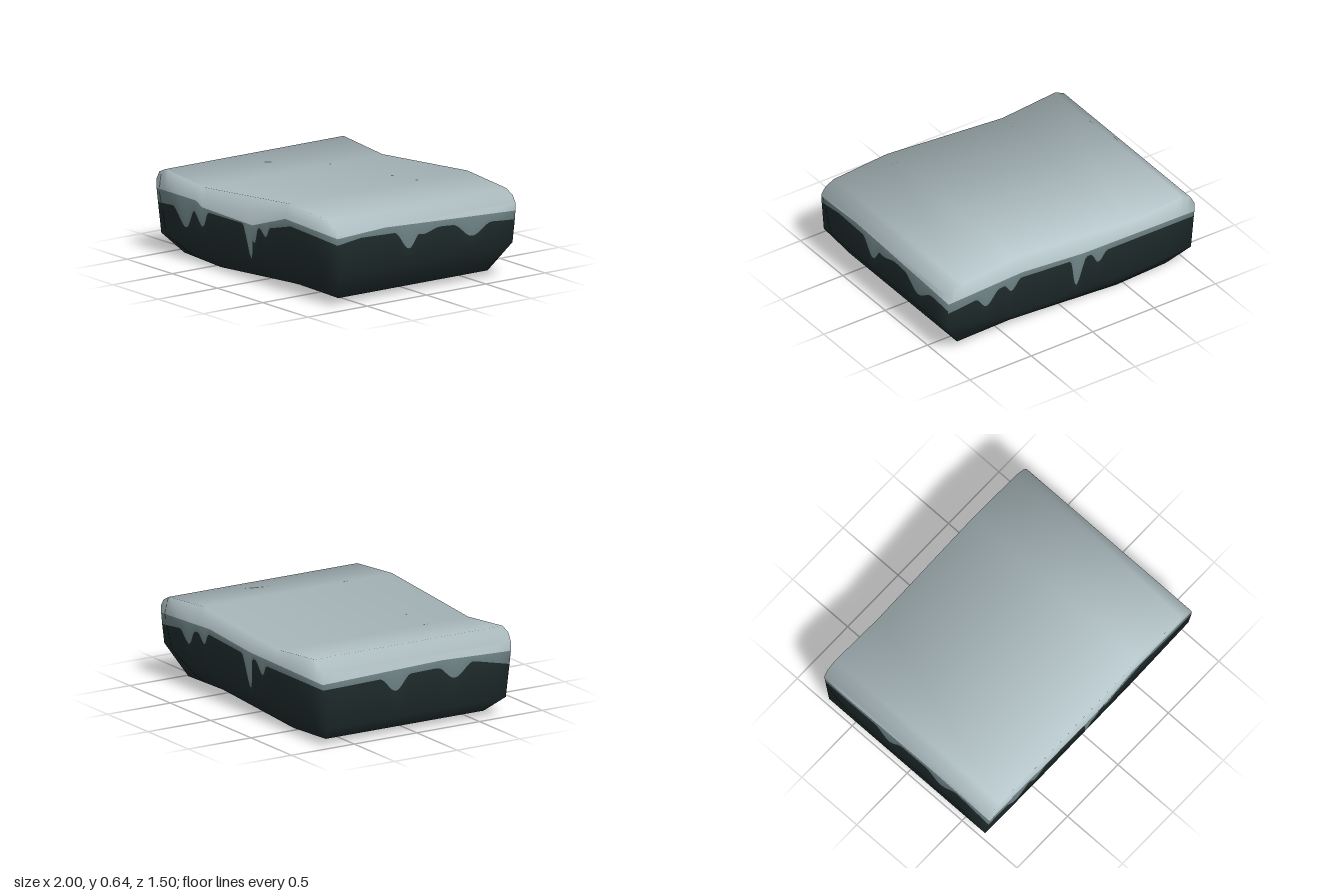
import * as THREE from 'three';

// Piecewise-linear curve through sorted [t, value] points
const curve = (pts) => (t) => {
  let i = 1;
  while (i < pts.length - 1 && t > pts[i][0]) i++;
  const [t0, v0] = pts[i - 1], [t1, v1] = pts[i];
  return THREE.MathUtils.mapLinear(THREE.MathUtils.clamp(t, t0, t1), t0, t1, v0, v1);
};

// Heights along x: undulating top, start of the lower chamfer, underside
const topXs = [-1, -0.97, -0.9, -0.47, 0.47, 0.9, 0.97, 1];
const topYs = [0.52, 0.575, 0.605, 0.565, 0.64, 0.605, 0.57, 0.525];
const top = curve(topXs.map((x, i) => [x, topYs[i]]));
const chamfer = curve([[-1, 0.14], [-0.45, 0.13], [0.42, 0.155], [1, 0.255]]);
const bottom = curve([[-0.85, 0.02], [-0.45, 0], [0.42, 0.055], [0.85, 0.045]]);
const bottomXs = [-1, -0.53, 0.494, 1];

// Half depth of the slab, narrowing downwards
const depth = (y) => 0.75 - 0.04 * THREE.MathUtils.clamp((0.45 - y) / 0.31, 0, 1);

// Lower edge of the drip band: a line with rounded drips [centre, half width, length]
function dripEdge(line, drips) {
  const base = curve(line);
  return (t) => {
    const lengths = drips.map(([c, w, l]) => {
      const d = Math.min(1, Math.abs(t - c) / w);
      return l * (0.5 + 0.5 * Math.cos(Math.PI * d));
    });
    return base(t) - Math.max(...lengths);
  };
}

// Upward normal of the top profile, rounded at the profile corners
function profileNormal(x) {
  const a = Math.max(-1, x - 0.02), b = Math.min(1, x + 0.02);
  return new THREE.Vector3(top(a) - top(b), b - a, 0).normalize();
}

// Collects smooth strips between two matching rows of {p, n}
class Surface {
  pos = [];
  nor = [];
  strip(upper, lower) {
    for (let i = 1; i < upper.length; i++) {
      const a0 = upper[i - 1], a1 = upper[i], b0 = lower[i - 1], b1 = lower[i];
      for (const v of [b0, b1, a1, b0, a1, a0]) {
        this.pos.push(...v.p.toArray());
        this.nor.push(...v.n.toArray());
      }
    }
  }
  mesh(name, material) {
    const g = new THREE.BufferGeometry();
    g.setAttribute('position', new THREE.Float32BufferAttribute(this.pos, 3));
    g.setAttribute('normal', new THREE.Float32BufferAttribute(this.nor, 3));
    const m = new THREE.Mesh(g, material);
    m.name = name;
    return m;
  }
}

// Rows of one wall from rim to base, running left to right as seen from outside
function wallRows(axis, side, border, drip) {
  const alongX = axis === 'x';
  const half = alongX ? 1 : 0.75;
  const steps = Array.from({ length: 121 }, (_, i) => (i / 60 - 1) * half);
  const extra = alongX ? [...topXs, ...bottomXs] : [];
  const stations = [...new Set([...steps, ...extra])].sort((a, b) => a - b);
  if (alongX === side < 0) stations.reverse();

  const row = (height, up) => stations.map((t) => {
    const x = alongX ? t : side, y = height(t, x), round = (t / half) ** 7;
    return {
      p: new THREE.Vector3(x, y, (alongX ? side : t / half) * depth(y)),
      n: new THREE.Vector3(alongX ? round : side, up, alongX ? side : round).normalize(),
    };
  });
  const rim = row((t, x) => top(x), 0);
  for (const v of rim) v.n.add(profileNormal(v.p.x)).normalize();
  const base = row(() => 0.5, -1.5);
  for (const { p } of base) p.set(p.x * 0.85, bottom(p.x * 0.85), p.z * 0.84);
  return {
    rim,
    edge: row(border, 0.25),
    drip: row(drip, 0),
    chamfer: row((t, x) => chamfer(x), -0.35),
    base,
  };
}

// Front or back edge of the top sheet and of the underside
const topRow = (side) => topXs.map((x) => ({
  p: new THREE.Vector3(x, top(x), side * 0.75),
  n: new THREE.Vector3(x ** 7, 0, side).normalize().add(profileNormal(x)).normalize(),
}));
const bottomRow = (side) => bottomXs.map((x) => ({
  p: new THREE.Vector3(x * 0.85, bottom(x * 0.85), side * 0.63),
  n: new THREE.Vector3(x ** 7, -1.5, side).normalize(),
}));

function material(name, color) {
  const m = new THREE.MeshStandardMaterial({ color });
  m.name = name;
  return m;
}

export function createModel() {
  const cap = new Surface(), band = new Surface(), body = new Surface();

  function addWall(axis, side, border, line, drips) {
    const r = wallRows(axis, side, curve(border), dripEdge(line, drips));
    cap.strip(r.rim, r.edge);
    band.strip(r.edge, r.drip);
    body.strip(r.drip, r.chamfer);
    body.strip(r.chamfer, r.base);
  }

  // Front
  addWall('x', 1,
    [[-1, 0.455], [-0.57, 0.455], [-0.5, 0.42], [0.05, 0.405], [0.42, 0.525], [1, 0.5]],
    [[-1, 0.355], [-0.45, 0.395], [0.15, 0.4], [0.48, 0.485], [1, 0.455]],
    [[-0.71, 0.13, 0.14], [-0.52, 0.09, 0.11], [0, 0.06, 0.24], [0.05, 0.07, 0.12], [0.19, 0.06, 0.06]]);
  // End at +x
  addWall('z', 1,
    [[-0.75, 0.47], [-0.3, 0.49], [0.35, 0.52], [0.75, 0.5]],
    [[-0.75, 0.41], [-0.15, 0.455], [0.55, 0.48], [0.75, 0.455]],
    [[-0.39, 0.17, 0.085], [0.15, 0.12, 0.12], [0.03, 0.15, 0.035]]);
  // Back
  addWall('x', -1,
    [[-1, 0.45], [-0.1, 0.46], [0.4, 0.5], [1, 0.47]],
    [[-1, 0.41], [-0.3, 0.41], [0.4, 0.46], [1, 0.39]],
    [[-0.06, 0.07, 0.23], [-0.23, 0.07, 0.085], [0.48, 0.07, 0.075], [0.68, 0.1, 0.1]]);
  // End at -x
  addWall('z', -1,
    [[-0.75, 0.45], [0.2, 0.475], [0.75, 0.455]],
    [[-0.75, 0.41], [0.45, 0.43], [0.75, 0.365]],
    [[-0.17, 0.13, 0.1], [0.31, 0.15, 0.09]]);

  // Undulating top and underside
  cap.strip(topRow(-1), topRow(1));
  body.strip(bottomRow(1), bottomRow(-1));

  const group = new THREE.Group();
  group.name = 'groundSlab';
  group.add(
    cap.mesh('topCap', material('paleGrey', 0xb6c6ca)),
    band.mesh('dripBand', material('midGrey', 0x6a7e80)),
    body.mesh('rockBody', material('darkRock', 0x1f2b2c)),
  );
  return group;
}
